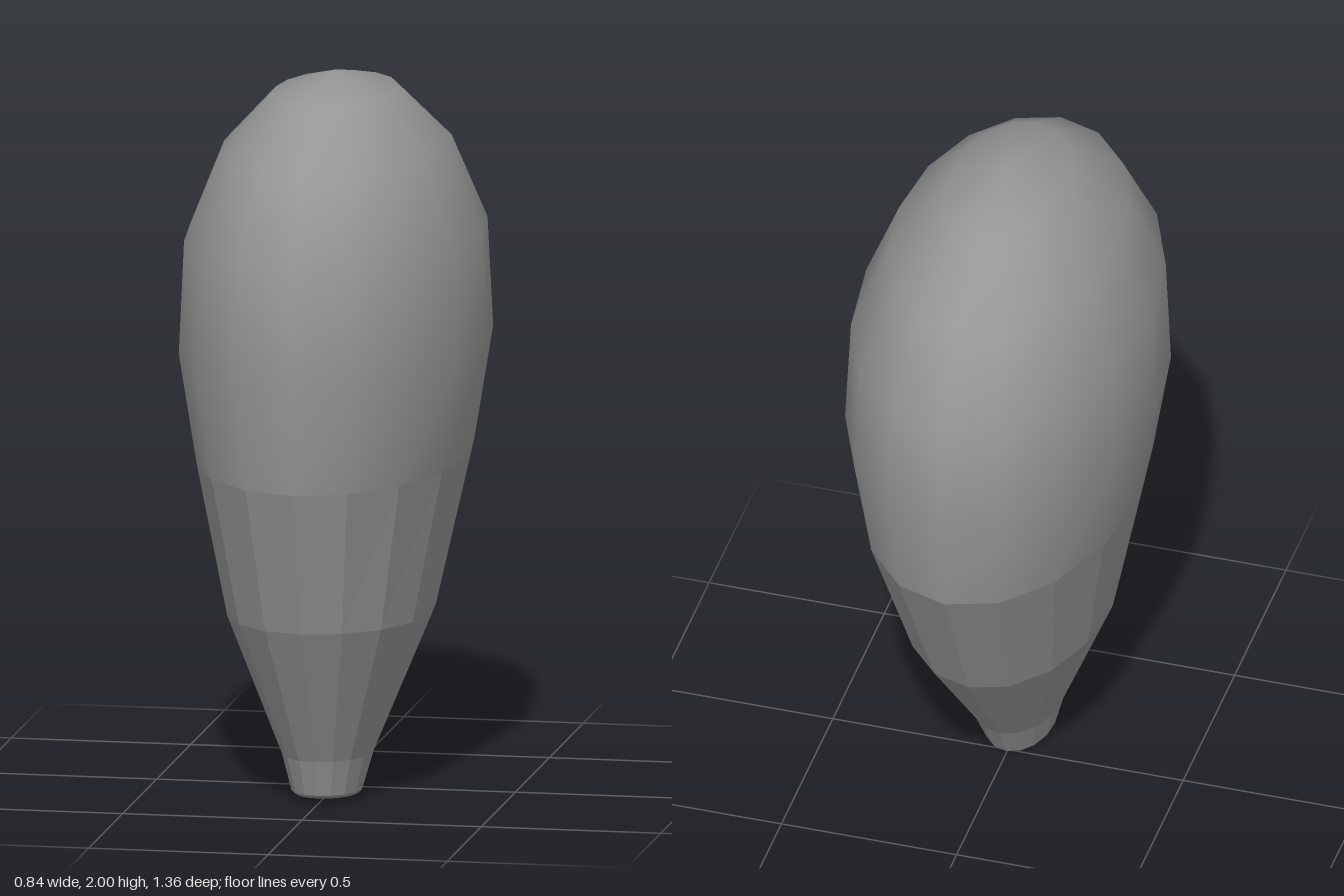
import * as THREE from 'three';

const SIDES = 16;
const COLOR = 0x969696;

// Each ring: [y at front, y at back, half width in x, z at front, z at back]
const lowerRings = [
  [0.015, 0.0, 0.085, 0.265, 0.0],
  [0.025, 0.01, 0.096, 0.28, -0.02],
  [0.125, 0.115, 0.124, 0.31, -0.083],
  [0.52, 0.49, 0.28, 0.512, -0.385],
  [0.93, 0.945, 0.37, 0.635, -0.622],
];
const upperRings = [
  lowerRings[4],
  [1.235, 1.255, 0.421, 0.68, -0.68],
  [1.555, 1.555, 0.406, 0.665, -0.658],
  [1.795, 1.79, 0.31, 0.515, -0.505],
  [1.948, 1.945, 0.167, 0.28, -0.272],
];

// Lofts tilted elliptical rings; optional pole points close the ends
function loft(rings, bottom, top) {
  const pos = [];
  const index = [];
  for (const [yf, yb, hx, zf, zb] of rings) {
    for (let j = 0; j < SIDES; j++) {
      const a = (j / SIDES) * Math.PI * 2;
      const c = Math.cos(a);
      pos.push(
        hx * Math.sin(a),
        (yf + yb) / 2 + ((yf - yb) / 2) * c,
        (zf + zb) / 2 + ((zf - zb) / 2) * c,
      );
    }
  }
  const last = (rings.length - 1) * SIDES;
  for (let j = 0; j < SIDES; j++) {
    const k = (j + 1) % SIDES;
    for (let r = 0; r < last; r += SIDES) {
      index.push(r + j, r + k, r + SIDES + k, r + j, r + SIDES + k, r + SIDES + j);
    }
  }
  if (bottom) {
    const p = pos.push(...bottom) / 3 - 1;
    for (let j = 0; j < SIDES; j++) index.push(p, (j + 1) % SIDES, j);
  }
  if (top) {
    const p = pos.push(...top) / 3 - 1;
    for (let j = 0; j < SIDES; j++) index.push(last + j, last + ((j + 1) % SIDES), p);
  }
  const geo = new THREE.BufferGeometry();
  geo.setAttribute('position', new THREE.Float32BufferAttribute(pos, 3));
  geo.setIndex(index);
  geo.computeVertexNormals();
  return geo;
}

export function createModel() {
  const group = new THREE.Group();
  group.name = 'bulb';

  // Smooth rounded upper body
  const upper = new THREE.Mesh(
    loft(upperRings, null, [0, 2, 0.005]),
    new THREE.MeshStandardMaterial({ color: COLOR }),
  );
  upper.name = 'roundedBody';

  // Faceted taper down to the small tilted foot
  const lower = new THREE.Mesh(
    loft(lowerRings, [0, 0.0075, 0.1325], null).toNonIndexed(),
    new THREE.MeshStandardMaterial({ color: COLOR, flatShading: true }),
  );
  lower.geometry.computeVertexNormals();
  lower.name = 'facetedTaper';

  group.add(upper, lower);
  return group;
}
